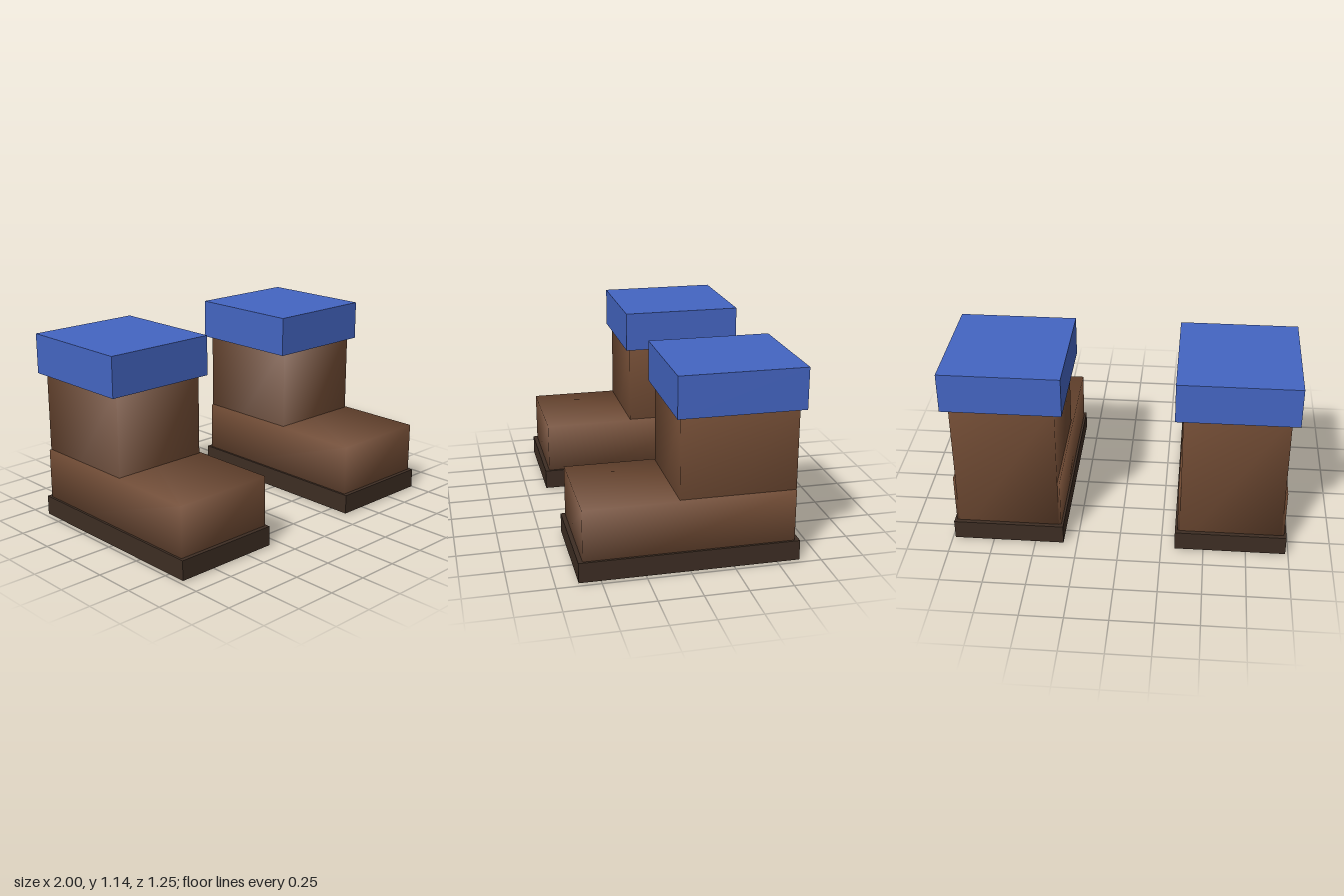
import * as THREE from 'three';
import { mergeVertices } from 'three/addons/utils/BufferGeometryUtils.js';

const material = (name, color) => {
  const m = new THREE.MeshStandardMaterial({ color });
  m.name = name;
  return m;
};

// Box from its extents: width about x = 0, then y and z ranges
function block(width, y0, y1, z0, z1) {
  const g = new THREE.BoxGeometry(width, y1 - y0, z1 - z0);
  return g.translate(0, (y0 + y1) / 2, (z0 + z1) / 2);
}

// Share the corners so the shading runs softly over the edges
function soften(geometry) {
  geometry.deleteAttribute('normal');
  geometry.deleteAttribute('uv');
  const g = mergeVertices(geometry);
  g.computeVertexNormals();
  return g;
}

export function createModel() {
  const leather = material('brown leather', 0x6f4a33);
  const rubber = material('dark sole', 0x3d2d23);
  const cloth = material('blue cuff', 0x4465c2);

  // Foot, its underside lifted into the sole at one front corner
  const foot = soften(block(0.625, 0.004, 0.426, -0.597, 0.6));
  const p = foot.attributes.position;
  for (let i = 0; i < p.count; i++) {
    if (p.getX(i) > 0 && p.getY(i) < 0.1 && p.getZ(i) > 0) p.setY(i, 0.024);
  }

  const parts = [
    ['sole', block(0.652, 0.008, 0.125, -0.625, 0.625), rubber],
    ['foot', foot, leather],
    ['shaft', soften(block(0.597, 0, 0.95, -0.6, 0.062)), leather],
    ['cuff', block(0.687, 0.903, 1.14, -0.625, 0.09), cloth],
  ];

  // The two boots are alike
  const model = new THREE.Group();
  model.name = 'boots';
  for (const [name, x] of [['leftBoot', 0.6565], ['rightBoot', -0.6565]]) {
    const boot = new THREE.Group();
    boot.name = name;
    boot.position.x = x;
    for (const [part, geometry, mat] of parts) {
      const mesh = new THREE.Mesh(geometry, mat);
      mesh.name = part;
      boot.add(mesh);
    }
    model.add(boot);
  }
  return model;
}
